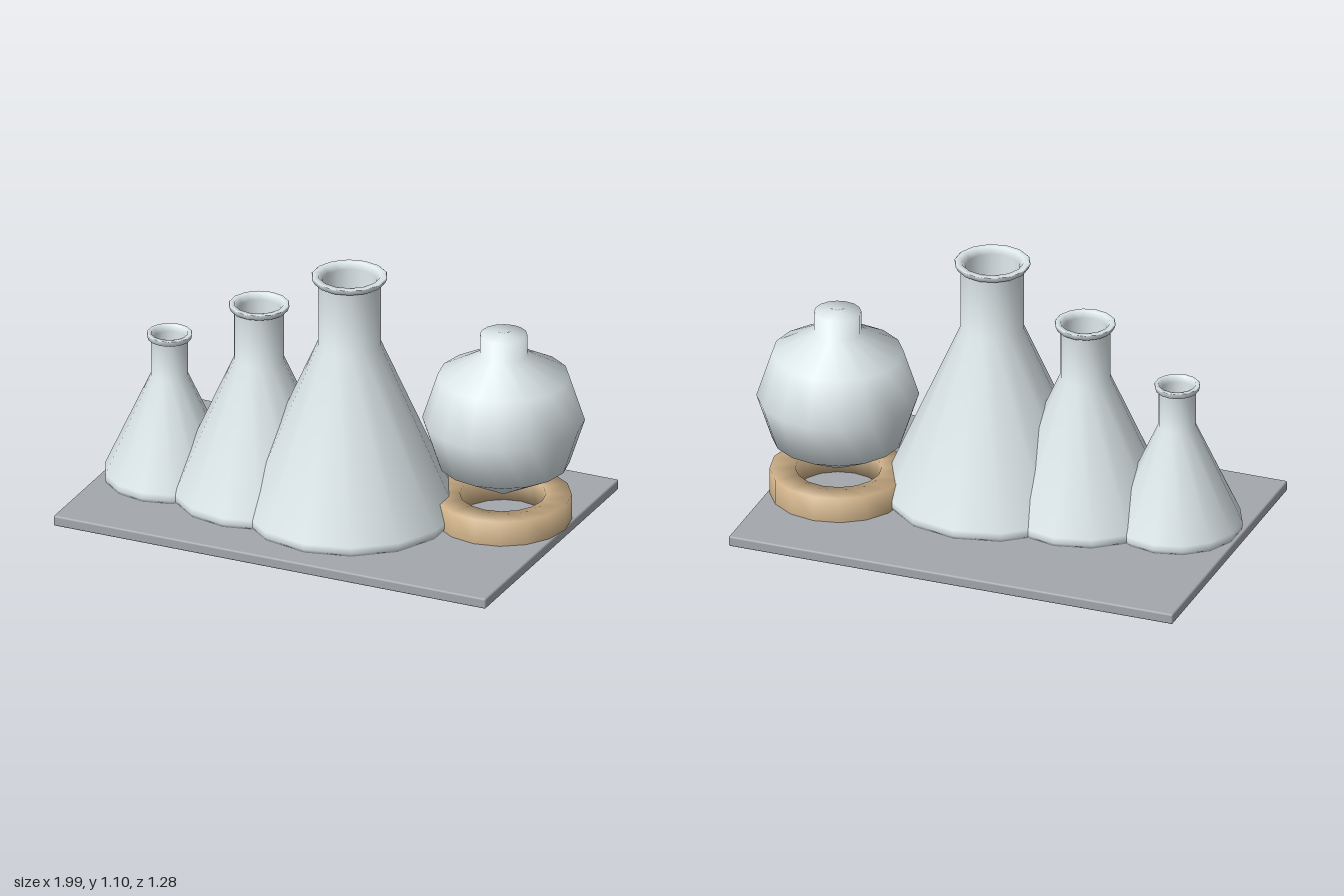
import * as THREE from 'three';
import { RoundedBoxGeometry } from 'three/addons/geometries/RoundedBoxGeometry.js';

const FLOOR = 0.045; // top of the tray

function material(color) {
  return new THREE.MeshStandardMaterial({ color });
}

function lathe(name, profile, sides, mat) {
  const points = profile.map(([r, y]) => new THREE.Vector2(r, y));
  const mesh = new THREE.Mesh(new THREE.LatheGeometry(points, sides), mat);
  mesh.name = name;
  return mesh;
}

// Conical flask with a flared lip, a hollow neck and a funnel-shaped inside
function conicalFlask(name, { x, base, neck, lip, shoulder, top, liquid }, glass, fluid) {
  const group = new THREE.Group();
  group.name = name;
  const bore = neck * 0.86;
  const floor = FLOOR + 0.02;
  group.add(lathe(name + 'Body', [
    [0, FLOOR], [base * 0.985, FLOOR], [base, FLOOR + 0.015], [base, FLOOR + 0.04],
    [neck, shoulder], [neck, top - 0.03],
    [lip * 0.94, top - 0.024], [lip, top - 0.004], [lip * 0.97, top],
    [neck * 0.98, top], [bore, top - 0.025], [bore, shoulder], [0, floor],
  ], 14, glass));
  if (liquid) {
    // Liquid surface low in the funnel
    const y = floor + (shoulder - floor) * (liquid / bore);
    const disc = new THREE.Mesh(new THREE.CylinderGeometry(liquid, 0.004, y - floor, 14), fluid);
    disc.name = name + 'Liquid';
    disc.position.y = (y + floor) / 2 + 0.002;
    group.add(disc);
  }
  group.position.set(x, 0, 0.104);
  return group;
}

export function createModel() {
  const model = new THREE.Group();
  model.name = 'flaskSet';
  const glass = material(0xdce6e9);
  const fluid = material(0x9cc4cc);

  // Tray
  const tray = new THREE.Mesh(new RoundedBoxGeometry(1.93, FLOOR, 1.285, 2, 0.008), material(0xa4a7ac));
  tray.name = 'tray';
  tray.position.set(-0.035, FLOOR / 2, 0);
  model.add(tray);

  // Row of conical flasks, small to large
  model.add(
    conicalFlask('smallFlask', { x: -0.73, base: 0.267, neck: 0.077, lip: 0.094, shoulder: 0.505, top: 0.69, liquid: 0.022 }, glass, fluid),
    conicalFlask('mediumFlask', { x: -0.33, base: 0.354, neck: 0.103, lip: 0.125, shoulder: 0.655, top: 0.897, liquid: 0.03 }, glass, fluid),
    conicalFlask('largeFlask', { x: 0.073, base: 0.442, neck: 0.13, lip: 0.156, shoulder: 0.8, top: 1.1 }, glass, fluid),
  );

  // Faceted round flask, closed at the top
  const round = lathe('roundFlask', [
    [0, 0.15], [0.267, 0.295], [0.33, 0.487], [0.267, 0.68],
    [0.096, 0.775], [0.096, 0.863], [0, 0.863],
  ], 16, glass);
  round.position.set(0.663, 0, -0.108);

  // Support ring with a square section
  const ring = lathe('supportRing', [
    [0.28, FLOOR], [0.28, 0.153], [0.175, 0.153], [0.175, FLOOR], [0.28, FLOOR],
  ], 16, material(0xcbae86));
  ring.position.set(0.66, 0, -0.107);
  model.add(round, ring);

  return model;
}
